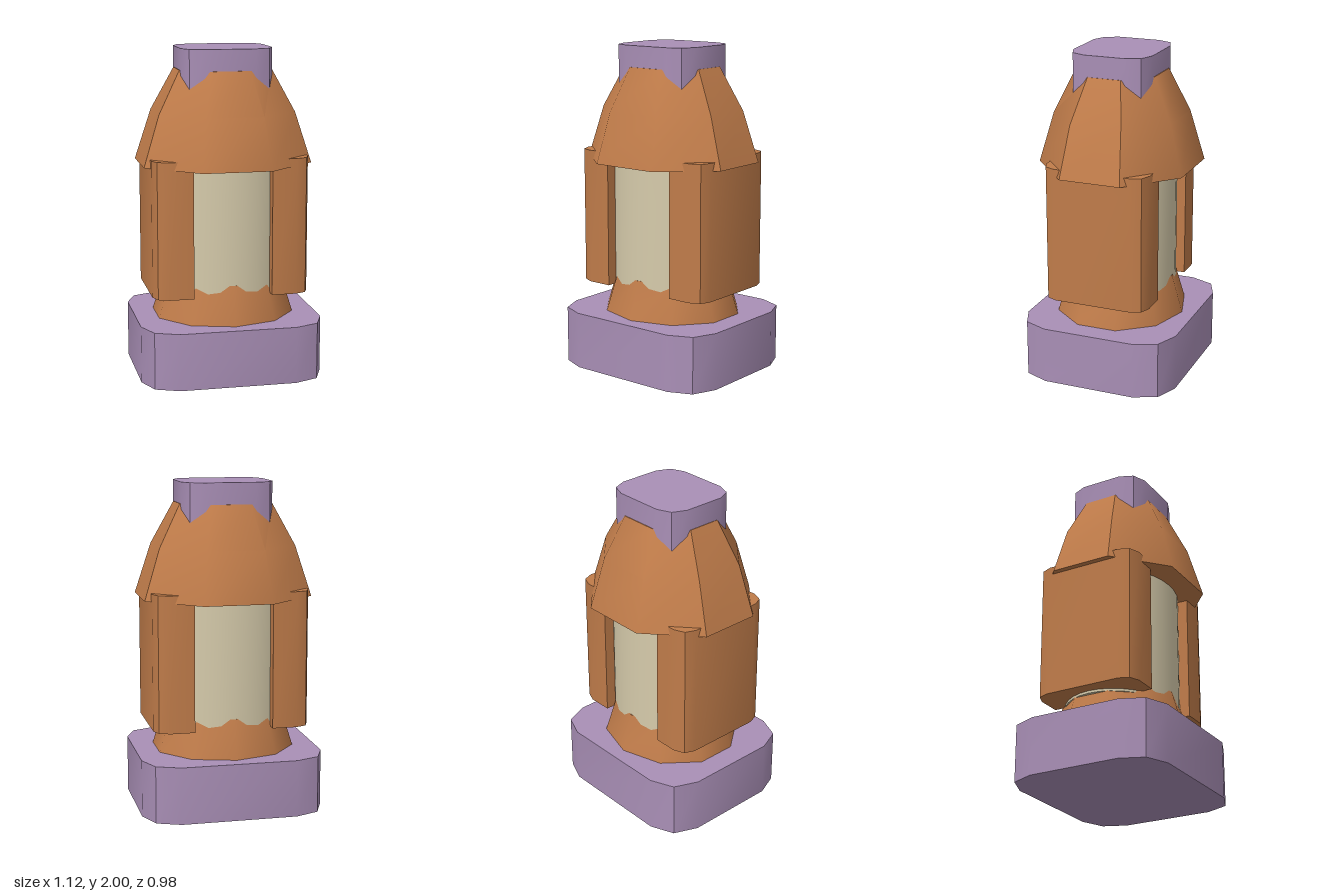
import * as THREE from 'three';
import { toCreasedNormals } from 'three/addons/utils/BufferGeometryUtils.js';

const mat = (name, color) => {
  const m = new THREE.MeshStandardMaterial({ color });
  m.name = name;
  return m;
};

// Full outline from the points of one quadrant, running from +x towards +z
function fourWay(q) {
  const r = [...q].reverse();
  return [
    ...q,
    ...r.map(([x, z]) => [-x, z]),
    ...q.map(([x, z]) => [-x, -z]),
    ...r.map(([x, z]) => [x, -z]),
  ];
}

// Outline on an ellipse with n corners, one of them at the front
function oval(rx, rz, n) {
  return Array.from({ length: n }, (_, i) => {
    const t = Math.PI / 2 + (i / n) * Math.PI * 2;
    return [rx * Math.cos(t), rz * Math.sin(t)];
  });
}

// Closed solid through outlines at rising heights
function loft(levels) {
  const pos = [], idx = [], n = levels[0].ring.length;
  for (const { y, ring } of levels) for (const [x, z] of ring) pos.push(x, y, z);
  for (let l = 0; l < levels.length - 1; l++) {
    for (let i = 0; i < n; i++) {
      const a = l * n + i, b = l * n + ((i + 1) % n);
      idx.push(a, a + n, b, b, a + n, b + n);
    }
  }
  const top = (levels.length - 1) * n;
  for (let i = 1; i < n - 1; i++) {
    idx.push(0, i, i + 1);
    idx.push(top, top + i + 1, top + i);
  }
  const g = new THREE.BufferGeometry();
  g.setAttribute('position', new THREE.Float32BufferAttribute(pos, 3));
  g.setIndex(idx);
  return toCreasedNormals(g, THREE.MathUtils.degToRad(41));
}

const prism = (ring, y0, y1) => loft([{ y: y0, ring }, { y: y1, ring }]);

export function createModel() {
  const group = new THREE.Group();
  const purple = mat('purple stone', 0xa98fb6);
  const copper = mat('copper', 0xc07c4a);
  const cream = mat('cream glass', 0xd6cbab);

  const add = (name, geometry, material) => {
    const mesh = new THREE.Mesh(geometry, material);
    mesh.name = name;
    group.add(mesh);
  };

  // Base and top cap: blocks with rounded corners
  add('base', prism(fourWay([[0.56, 0.285], [0.5, 0.43], [0.355, 0.49]]), 0, 0.35), purple);
  add('topCap', prism(fourWay([[0.28, 0.13], [0.243, 0.215], [0.155, 0.25]]), 1.7, 2), purple);

  // Flared foot under the glass
  add('foot', loft([
    { y: 0.345, ring: oval(0.445, 0.405, 10) },
    { y: 0.585, ring: oval(0.37, 0.335, 10) },
  ]), copper);

  // Glass core
  add('glass', prism(oval(0.4, 0.33, 32), 0.5, 1.32), cream);

  // Side panels, rounded on their outer corners
  const half = [[0.48, 0.24], [0.455, 0.303], [0.39, 0.33], [0.24, 0.33]];
  const panel = [...half, ...[...half].reverse().map(([x, z]) => [x, -z])];
  const mirrored = panel.map(([x, z]) => [-x, z]).reverse();
  add('leftPanel', prism(panel, 0.515, 1.35), copper);
  add('rightPanel', prism(mirrored, 0.515, 1.35), copper);

  // Eight-sided roof, steeper towards the rim
  add('roof', loft([
    { y: 1.3, ring: fourWay([[0.515, 0.19], [0.21, 0.46]]) },
    { y: 1.61, ring: fourWay([[0.418, 0.16], [0.175, 0.375]]) },
    { y: 1.87, ring: fourWay([[0.283, 0.105], [0.12, 0.255]]) },
  ]), copper);

  return group;
}
